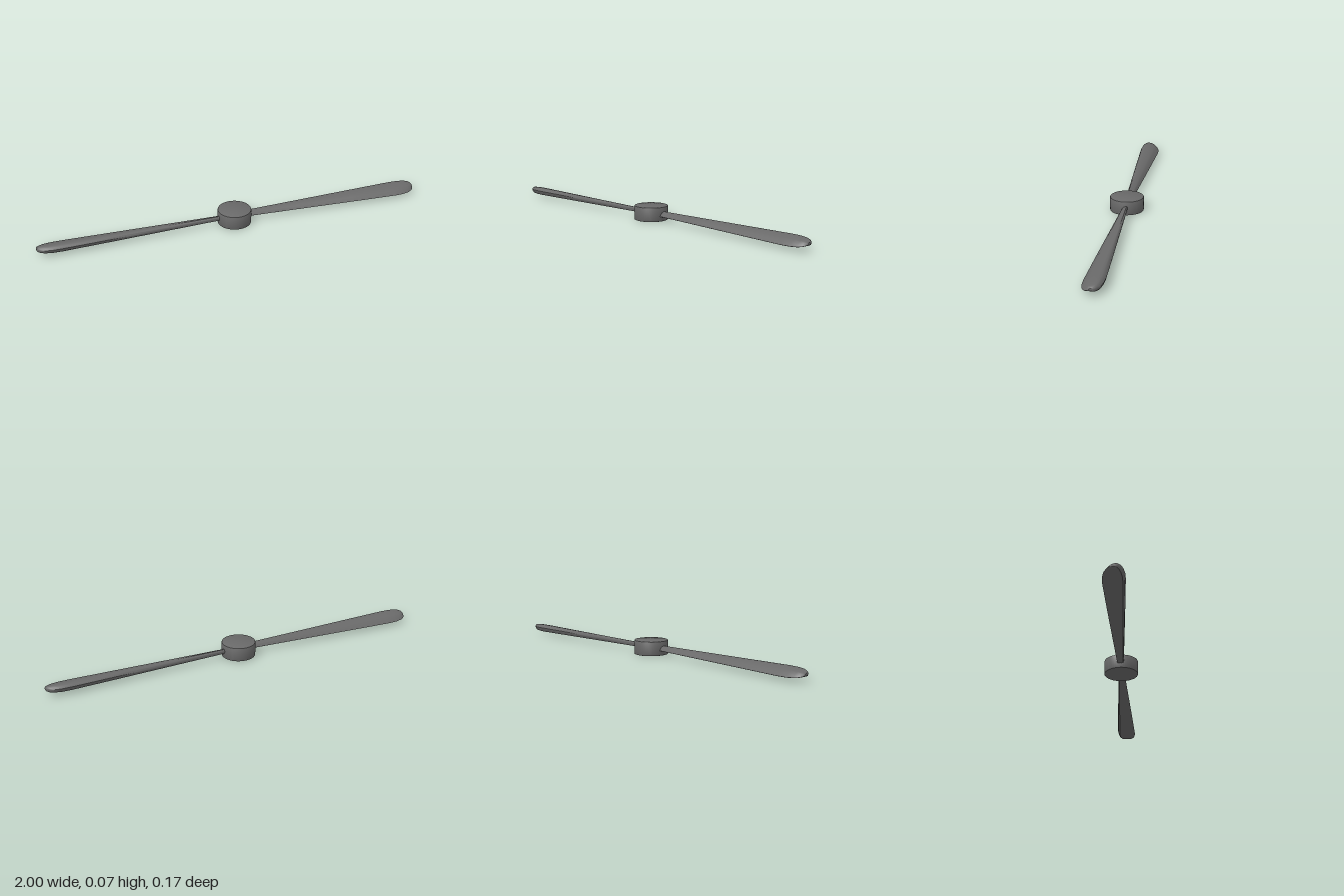
import * as THREE from 'three';
import { toCreasedNormals } from 'three/addons/utils/BufferGeometryUtils.js';

// Airfoil outline at the widest station: [z, y offset from the blade axis], seen from the tip
const AIRFOIL = [
  [0.052, -0.016], [0.045, -0.009], [0.033, 0.003], [0.02, 0.011], [0.0, 0.017],
  [-0.02, 0.021], [-0.032, 0.021], [-0.043, 0.014], [-0.048, 0.005],
  [-0.044, -0.009], [-0.036, -0.017], [-0.015, -0.018], [0.02, -0.018], [0.048, -0.018],
];

// Stations along the blade: [x, width scale, thickness scale]
const STATIONS = [
  [0.05, 0.3, 0.58], [0.085, 0.33, 0.6], [0.35, 0.56, 0.73], [0.65, 0.82, 0.88], [0.88, 1, 1],
  [0.93, 0.97, 0.98], [0.965, 0.83, 0.88], [0.985, 0.63, 0.72], [0.996, 0.42, 0.52], [1.0, 0.22, 0.3],
];
const AXIS_Y = 0.036;

function bladeGeometry() {
  const n = AIRFOIL.length;
  const positions = [];
  const index = [];
  for (const [x, width, thick] of STATIONS) {
    for (const [z, y] of AIRFOIL) positions.push(x, AXIS_Y + y * thick, z * width);
  }
  for (let i = 0; i < STATIONS.length - 1; i++) {
    for (let j = 0; j < n; j++) {
      const a = i * n + j;
      const c = i * n + (j + 1) % n;
      index.push(a, a + n, c, c, a + n, c + n);
    }
  }
  // Tip cap
  const last = (STATIONS.length - 1) * n;
  for (let j = 1; j < n - 1; j++) index.push(last, last + j + 1, last + j);
  const geometry = new THREE.BufferGeometry();
  geometry.setAttribute('position', new THREE.Float32BufferAttribute(positions, 3));
  geometry.setIndex(index);
  return toCreasedNormals(geometry, 0.7);
}

export function createModel() {
  const model = new THREE.Group();
  model.name = 'propeller';
  const grey = new THREE.MeshStandardMaterial({ color: 0x696969 });
  grey.name = 'darkGrey';

  // Hub: short cylinder with a small rounded rim
  const profile = [
    [0, 0], [0.082, 0], [0.0845, 0.001], [0.0855, 0.0035],
    [0.0855, 0.0685], [0.0845, 0.071], [0.082, 0.072], [0, 0.072],
  ].map(([r, y]) => new THREE.Vector2(r, y));
  const hub = new THREE.Mesh(toCreasedNormals(new THREE.LatheGeometry(profile, 48), 0.5), grey);
  hub.name = 'hub';
  model.add(hub);

  // Two identical blades, half a turn apart
  const geometry = bladeGeometry();
  ['leftBlade', 'rightBlade'].forEach((name, i) => {
    const blade = new THREE.Mesh(geometry, grey);
    blade.name = name;
    blade.rotation.y = i * Math.PI;
    model.add(blade);
  });
  return model;
}
